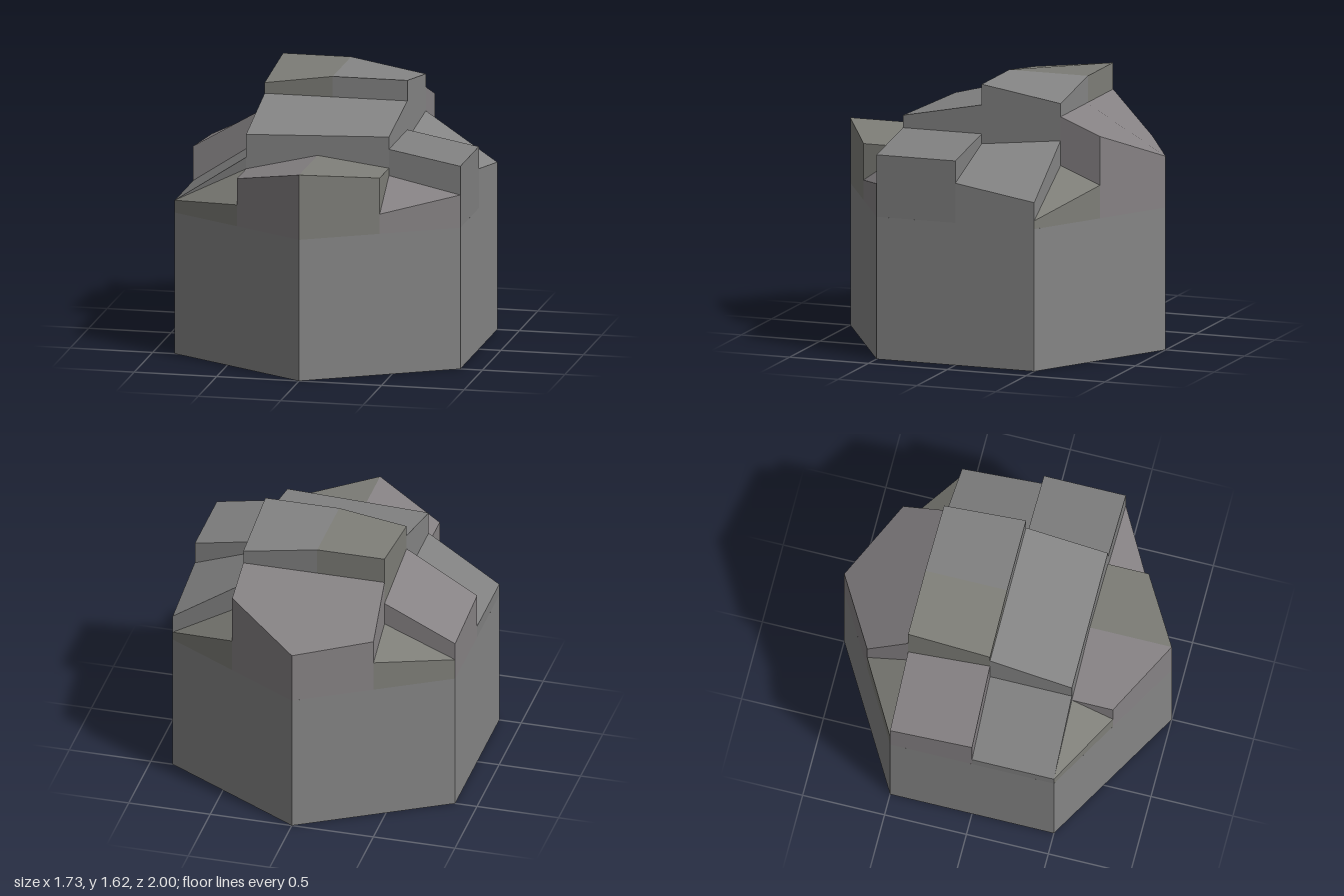
import * as THREE from 'three';

const BASE = 0.86; // height where the separate columns begin
const W = 0.866;   // half width of the hexagon
const M = 0.433;   // half width of the middle columns
const S = -0.02;   // split of the highest block

// Stone tints
const NEUTRAL = 0x858585, DARK = 0x808080, GREEN = 0x7e7e78, PURPLE = 0x868284;

// Column with an uneven top. Corners are [x, z, y], counter-clockwise from above.
// The top is a fan from the first corner, shaded evenly with its average normal.
function columnGeometry(corners) {
  const pos = [], nor = [];
  const top = ([x, z, y]) => new THREE.Vector3(x, y, z);
  const foot = ([x, z]) => new THREE.Vector3(x, BASE, z);
  const addTriangle = (a, b, c, normal) => {
    for (const p of [a, b, c]) {
      pos.push(p.x, p.y, p.z);
      nor.push(normal.x, normal.y, normal.z);
    }
  };
  const n = corners.length;
  const origin = top(corners[0]);
  const up = new THREE.Vector3();
  for (let i = 1; i < n - 1; i++) {
    up.add(top(corners[i]).sub(origin).cross(top(corners[i + 1]).sub(origin)));
  }
  up.normalize();
  for (let i = 1; i < n - 1; i++) addTriangle(origin, top(corners[i]), top(corners[i + 1]), up);
  for (let i = 0; i < n; i++) {
    const a = corners[i], b = corners[(i + 1) % n];
    const out = new THREE.Vector3(a[1] - b[1], 0, b[0] - a[0]).normalize();
    addTriangle(foot(a), foot(b), top(b), out);
    addTriangle(foot(a), top(b), top(a), out);
  }
  const geo = new THREE.BufferGeometry();
  geo.setAttribute('position', new THREE.Float32BufferAttribute(pos, 3));
  geo.setAttribute('normal', new THREE.Float32BufferAttribute(nor, 3));
  return geo;
}

export function createModel() {
  const group = new THREE.Group();
  const add = (name, geometry, color, flatShading = false) => {
    const mesh = new THREE.Mesh(geometry, new THREE.MeshStandardMaterial({ color, flatShading }));
    mesh.name = name;
    group.add(mesh);
    return mesh;
  };

  // Hexagonal body
  add('hexagonBase', new THREE.CylinderGeometry(1, 1, BASE, 6), NEUTRAL, true).position.y = BASE / 2;

  const columns = {
    // Front row: gabled middle in two halves, between two corner wedges
    frontMiddleLeftHalf: [GREEN, [0, 1, 1.255], [M, 0.75, 1.2], [M, 0.5, 1.2], [0, 0.5, 1.255]],
    frontMiddleRightHalf: [PURPLE, [0, 1, 1.255], [0, 0.5, 1.255], [-M, 0.5, 1.15], [-M, 0.75, 1.15]],
    frontLeftWedge: [PURPLE, [M, 0.75, 0.98], [W, 0.5, 1.06], [M, 0.5, 1.155]],
    frontRightWedge: [GREEN, [-W, 0.5, 0.935], [-M, 0.75, 0.99], [-M, 0.5, 1.15]],

    // Row in front of the centre
    innerFrontMiddleColumn: [NEUTRAL, [-M, 0.5, 1.36], [M, 0.5, 1.39], [M, 0, 1.49], [-M, 0, 1.49]],
    innerFrontLeftColumn: [DARK, [M, 0.5, 1.315], [W, 0.5, 1.235], [W, 0, 1.235], [M, 0, 1.315]],
    innerFrontRightColumn: [DARK, [-W, 0.5, 0.935], [-M, 0.5, 1.22], [-M, 0, 1.22], [-W, 0, 0.935]],

    // Row behind the centre, with the highest block
    innerBackMiddleLeftHalf: [NEUTRAL, [S, 0, 1.615], [M, 0, 1.615], [M, -0.5, 1.535], [S, -0.5, 1.615]],
    innerBackMiddleRightHalf: [GREEN, [S, 0, 1.615], [S, -0.5, 1.615], [-M, -0.5, 1.615], [-M, 0, 1.555]],
    innerBackLeftColumn: [NEUTRAL, [M, 0, 1.255], [W, 0, 1.1], [W, -0.5, 1.02], [M, -0.5, 1.31]],
    innerBackRightColumn: [PURPLE, [-W, 0, 1.145], [-M, 0, 1.4], [-M, -0.5, 1.31], [-W, -0.5, 1.1]],

    // Back row: sloping middle between two corner wedges
    backMiddleColumn: [PURPLE, [0, -0.5, 1.455], [M, -0.5, 1.455], [M, -0.75, 1.355],
      [0, -1, 1.17], [-M, -0.75, 1.19], [-M, -0.5, 1.455]],
    backLeftWedge: [GREEN, [M, -0.5, 1.16], [W, -0.5, 0.91], [M, -0.75, 1.06]],
    backRightWedge: [GREEN, [-W, -0.5, 0.99], [-M, -0.5, 1.17], [-M, -0.75, 1.045]],
  };
  for (const [name, [color, ...corners]] of Object.entries(columns)) {
    add(name, columnGeometry(corners), color);
  }

  return group;
}
